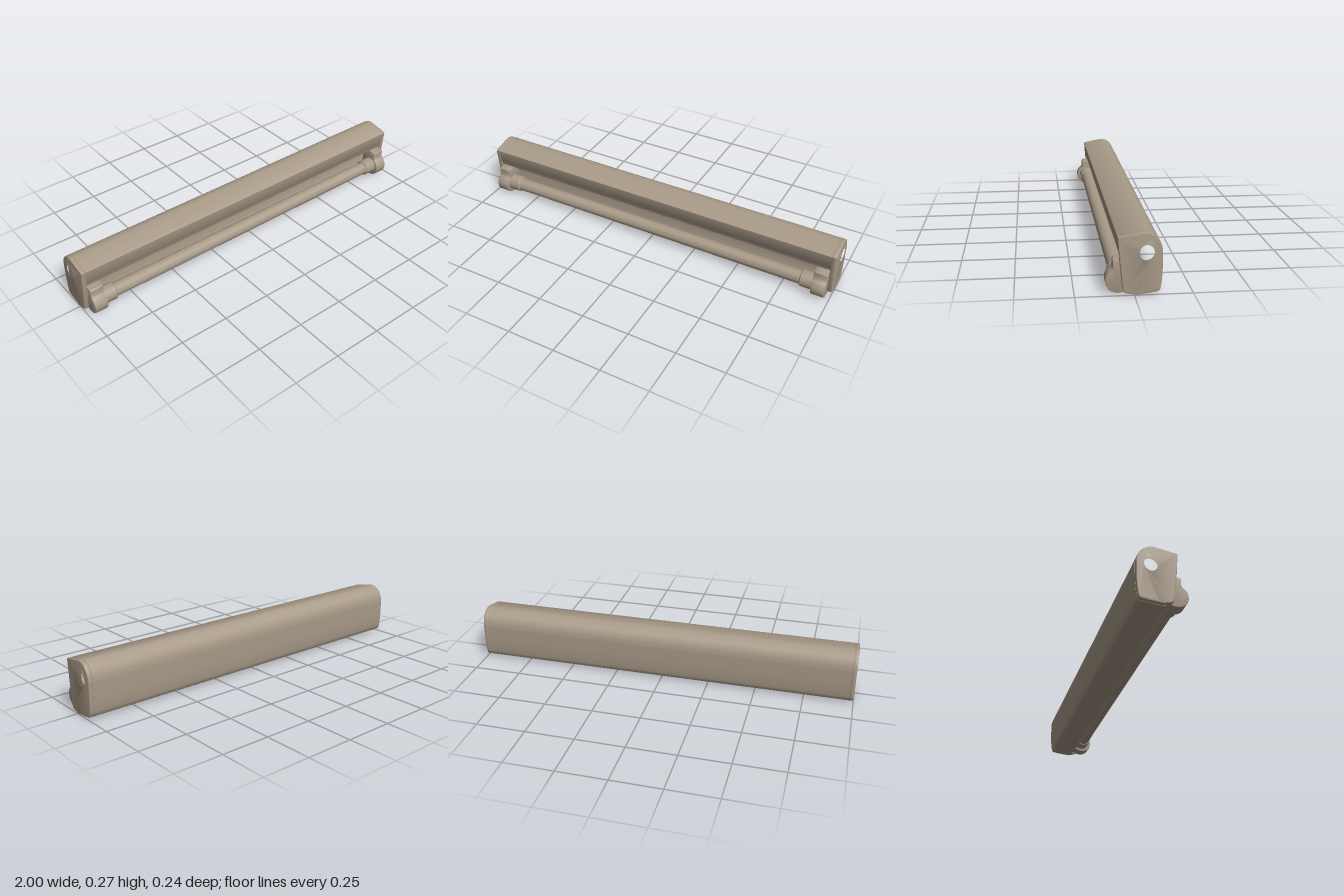
import * as THREE from 'three';
import { toCreasedNormals } from 'three/addons/utils/BufferGeometryUtils.js';

const taupe = new THREE.MeshStandardMaterial({ color: 0xa89a88 });
taupe.name = 'taupe';

// Cross-section points are [z, y]; the shape's own x runs along -z.
const P = (z, y) => new THREE.Vector2(-z, y);

function profile(front) {
  const s = new THREE.Shape();
  s.moveTo(-0.067, 0.257);
  s.lineTo(0.03, 0.276);
  // domed top rolling into the back
  s.bezierCurveTo(0.075, 0.284, 0.117, 0.245, 0.118, 0.19);
  s.bezierCurveTo(0.119, 0.12, 0.119, 0.06, 0.108, 0.022);
  s.quadraticCurveTo(0.105, 0.016, 0.095, 0.014);
  // underside
  s.quadraticCurveTo(0.05, 0.006, 0, 0.003);
  front.forEach(([z, y]) => s.lineTo(-z, y));
  s.lineTo(-0.07, 0.254);
  s.closePath();
  // bore along the whole length
  const hole = new THREE.Path();
  hole.absellipse(0.052, 0.187, 0.036, 0.039, 0, Math.PI * 2, true);
  s.holes.push(hole);
  return s;
}

// Extrudes a cross-section along x between x0 and x1, with optional edge rounding
function extrudeX(name, shape, x0, x1, bevel = 0) {
  const geo = new THREE.ExtrudeGeometry(shape, {
    depth: x1 - x0 - 2 * bevel, curveSegments: 16,
    bevelEnabled: bevel > 0, bevelThickness: bevel, bevelSize: bevel,
    bevelOffset: -bevel, bevelSegments: 2,
  });
  geo.translate(0, 0, x0 + bevel);
  geo.rotateY(Math.PI / 2);
  const mesh = new THREE.Mesh(toCreasedNormals(geo, 0.6), taupe);
  mesh.name = name;
  return mesh;
}

// Round bar along x, with softened rims
function bar(name, r, x0, x1, rim) {
  const half = (x1 - x0) / 2;
  const pts = [[0, -half], [r - rim, -half], [r, -half + rim], [r, half - rim], [r - rim, half], [0, half]]
    .map(([a, b]) => new THREE.Vector2(a, b));
  const geo = new THREE.LatheGeometry(pts, 32);
  geo.rotateZ(-Math.PI / 2);
  geo.translate((x0 + x1) / 2, 0.065, 0.061);
  const mesh = new THREE.Mesh(toCreasedNormals(geo, 0.5), taupe);
  mesh.name = name;
  return mesh;
}

// Rounded knob with a short neck that reaches back into the recess
function bracketShape() {
  const s = new THREE.Shape();
  const a = Math.PI - 1.1;
  s.moveTo(-0.0, 0.13);
  s.lineTo(-0.0, 0.025);
  s.lineTo(-0.035, 0.014);
  const pts = [];
  for (let i = 0; i <= 20; i++) {
    const t = 1.05 + (i / 20) * (Math.PI + 1.0 - 1.05 + 0.05);
    // sweep from underneath, round the front, up to the neck
    const ang = -t;
    pts.push(P(0.066 - 0.054 * Math.cos(ang), 0.059 + 0.054 * Math.sin(ang)));
  }
  pts.filter((p) => -p.x > 0.087 || p.y < 0.1).forEach((p) => s.lineTo(p.x, p.y));
  s.lineTo(-0.088, 0.118);
  s.lineTo(-0.088, 0.146);
  s.lineTo(-0.083, 0.151);
  s.lineTo(-0.04, 0.155);
  s.closePath();
  return s;
}

export function createModel() {
  const model = new THREE.Group();
  model.name = 'barHousing';

  // Long housing with a recess along its lower front
  const recess = [[0.012, 0.004], [0.02, 0.012], [0.012, 0.03], [0.002, 0.05],
    [0.002, 0.115], [0.03, 0.14], [0.056, 0.162], [0.061, 0.182], [0.064, 0.186]];
  model.add(extrudeX('housing', profile(recess), -0.978, 0.978));

  // Closed end caps, brackets and collars, one set per end
  const solid = [[-0.01, 0.003], [0.035, 0.01], [0.045, 0.018], [0.05, 0.035], [0.062, 0.15]];
  for (const side of [-1, 1]) {
    const span = (a, b) => (side > 0 ? [a, b] : [-b, -a]);
    model.add(extrudeX('endCap', profile(solid), ...span(0.976, 1), 0.005));
    model.add(extrudeX('bracket', bracketShape(), ...span(0.908, 0.977), 0.004));
    model.add(bar('collar', 0.043, ...span(0.842, 0.915), 0.005));
  }

  // Front roller between the collars
  model.add(bar('roller', 0.035, -0.85, 0.85, 0.002));
  return model;
}
